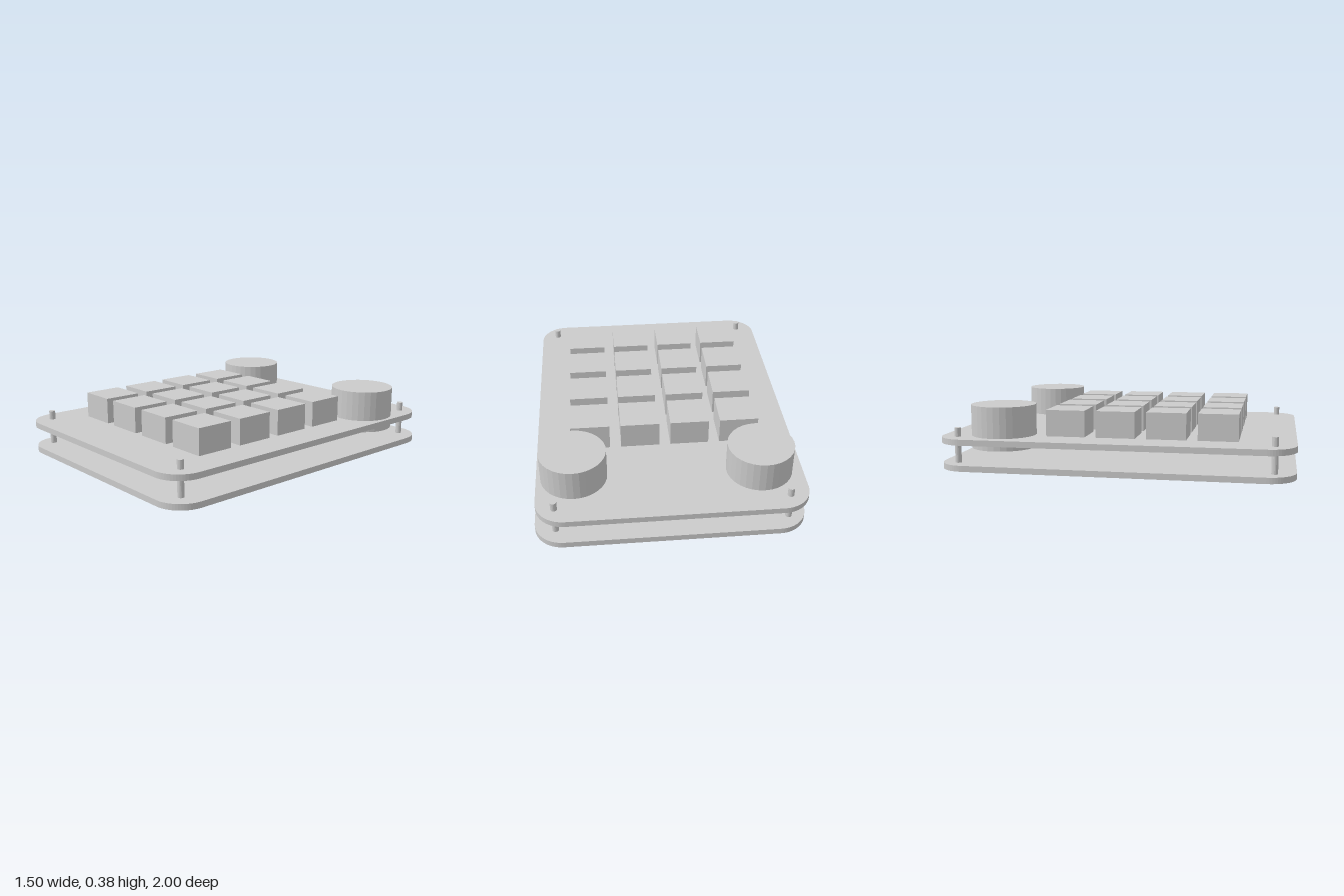
import * as THREE from 'three';

const material = new THREE.MeshStandardMaterial({ color: 0xcccccc, flatShading: true });

export function createModel() {
  const model = new THREE.Group();
  model.name = 'macroPad';

  const add = (name, geometry, x, y, z) => {
    const mesh = new THREE.Mesh(geometry, material);
    mesh.name = name;
    mesh.position.set(x, y, z);
    model.add(mesh);
  };

  // Rounded plates, lying flat with their underside at the mesh origin
  const w = 0.746, d = 1, r = 0.16, thickness = 0.034;
  const outline = new THREE.Shape();
  outline.moveTo(w, -d + r);
  outline.absarc(w - r, d - r, r, 0, Math.PI / 2);
  outline.absarc(-w + r, d - r, r, Math.PI / 2, Math.PI);
  outline.absarc(-w + r, -d + r, r, Math.PI, Math.PI * 1.5);
  outline.absarc(w - r, -d + r, r, Math.PI * 1.5, Math.PI * 2);
  const plate = new THREE.ExtrudeGeometry(outline, { depth: thickness, bevelEnabled: false, curveSegments: 8 });
  plate.rotateX(-Math.PI / 2);
  add('bottomPlate', plate, 0.006, 0.015, 0);
  add('topPlate', plate, -0.006, 0.165, 0);

  // Standoff pins through both plates
  const pin = new THREE.CylinderGeometry(0.018, 0.018, 0.25, 16);
  for (const x of [-0.64, 0.637]) {
    for (const z of [-0.897, 0.882]) add('standoffPin', pin, x, 0.125, z);
  }

  // 4 x 4 key block, passing through the top plate
  const key = new THREE.BoxGeometry(0.224, 0.222, 0.224);
  const pitch = 0.288;
  for (let row = 0; row < 4; row++) {
    for (let col = 0; col < 4; col++) {
      add('key', key, -0.434 + col * pitch, 0.239, -0.291 + row * pitch);
    }
  }

  // Two rotary knobs at the back
  const knob = new THREE.CylinderGeometry(0.186, 0.186, 0.248, 32);
  add('rightKnob', knob, -0.509, 0.252, -0.665);
  add('leftKnob', knob, 0.53, 0.252, -0.641);

  return model;
}
